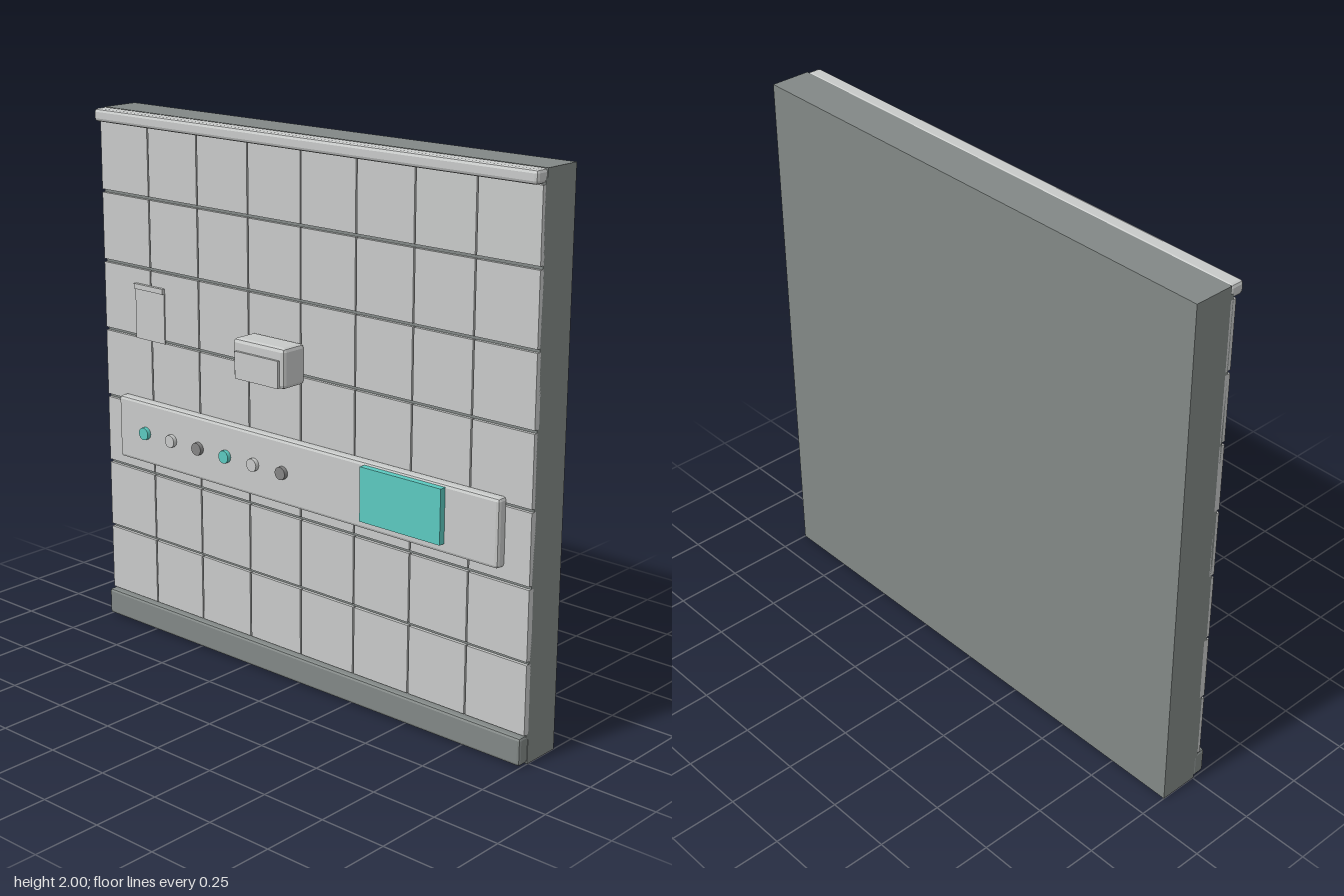
import * as THREE from 'three';
import { RoundedBoxGeometry } from 'three/addons/geometries/RoundedBoxGeometry.js';

const mat = (name, color) => {
  const m = new THREE.MeshStandardMaterial({ color });
  m.name = name;
  return m;
};

export function createModel() {
  const light = mat('light grey', 0xc8cac9);
  const dark = mat('dark grey', 0x828886);
  const button = mat('button grey', 0x858585);
  const teal = mat('teal', 0x5ccac0);
  const root = new THREE.Group();
  root.name = 'wallPanel';

  const add = (name, geometry, material, parent = root) => {
    const mesh = new THREE.Mesh(geometry, material);
    mesh.name = name;
    parent.add(mesh);
    return mesh;
  };
  // Box given by its limits; a bevel above zero chamfers every edge
  const box = (name, material, [x0, x1], [y0, y1], [z0, z1], bevel = 0, parent = root) => {
    const size = [x1 - x0, y1 - y0, z1 - z0];
    const g = bevel ? new RoundedBoxGeometry(...size, 1, bevel) : new THREE.BoxGeometry(...size);
    if (bevel) g.computeVertexNormals();
    g.translate((x0 + x1) / 2, (y0 + y1) / 2, (z0 + z1) / 2);
    return add(name, g, material, parent);
  };

  // Wall core and the grout behind the tiles
  box('wall', dark, [-1, 1], [0, 2], [-0.146, 0.005]);
  box('grout', dark, [-1, 1], [0.09, 1.97], [0.004, 0.016]);

  // Tiles, 8 across and 7 up
  const tiles = new THREE.Group();
  tiles.name = 'tiles';
  root.add(tiles);
  const rowH = 0.2645, first = 0.104;
  for (let r = 0; r < 7; r++) {
    for (let c = 0; c < 8; c++) {
      const x0 = -1 + c * 0.25, y0 = first + r * rowH;
      box('tile', light,
        [c === 0 ? -1 : x0 + 0.003, c === 7 ? 1 : x0 + 0.247],
        [y0 + 0.006, y0 + rowH - 0.006], [0.005, 0.028], 0, tiles);
    }
  }

  // Trim along the top and skirting along the floor
  box('topTrim', light, [-1, 1], [1.952, 2], [0, 0.06], 0.012);
  box('skirting', dark, [-1, 1], [0.005, 0.107], [0, 0.052], 0.01);

  // Hanging cloth with a small folded lip
  box('cloth', light, [-0.828, -0.676], [1.155, 1.362], [0.028, 0.033]);
  box('clothLip', light, [-0.828, -0.676], [1.345, 1.365], [0.028, 0.041]);

  // Dispenser
  box('dispenser', light, [-0.225, 0.02], [1.133, 1.28], [0.026, 0.136], 0.015);
  box('dispenserFront', light, [-0.205, 0], [1.137, 1.236], [0.12, 0.146]);

  // Control console
  box('console', light, [-0.898, 0.898], [0.682, 0.925], [0.02, 0.066], 0.012);
  box('screen', teal, [0.327, 0.677], [0.718, 0.915], [0.06, 0.09]);
  const colours = [teal, light, button];
  for (let i = 0; i < 6; i++) {
    const g = new THREE.CylinderGeometry(0.024, 0.024, 0.03, 16).rotateX(Math.PI / 2);
    add('button', g, colours[i % 3]).position.set(-0.752 + i * 0.14, 0.803, 0.067);
  }
  return root;
}
